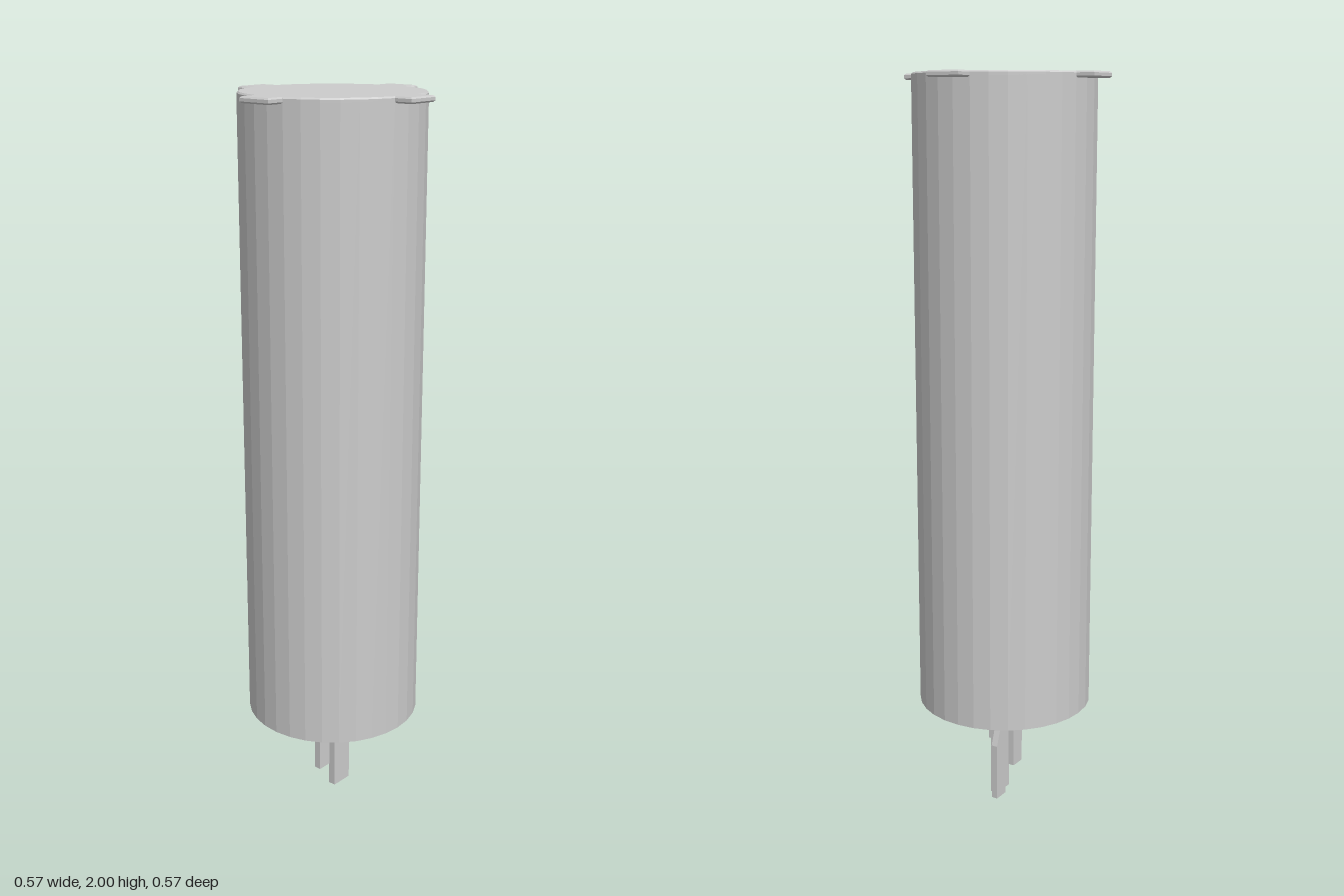
import * as THREE from 'three';

const SIDES = 32, RADIUS = 0.241, TAB = 0.286;

export function createModel() {
  const group = new THREE.Group();
  const material = new THREE.MeshStandardMaterial({ color: 0xcccccc, flatShading: true });
  const add = (name, geometry) => {
    const mesh = new THREE.Mesh(geometry, material);
    mesh.name = name;
    group.add(mesh);
    return mesh;
  };

  // Long faceted barrel
  add('barrel', new THREE.CylinderGeometry(RADIUS, RADIUS, 1.71, SIDES)).position.y = 0.28 + 0.855;

  // Chamfered lid: round outline with a square tab on each quarter
  const outline = [];
  const step = (Math.PI * 2) / SIDES;
  const half = RADIUS * Math.sin(step);
  for (let q = 0; q < 4; q++) {
    const turn = (x, y) => outline.push(new THREE.Vector2(x, y).rotateAround(new THREE.Vector2(), q * Math.PI / 2));
    turn(TAB, -half);
    turn(TAB, half);
    for (let i = 1; i < 8; i++) turn(RADIUS * Math.cos(i * step), RADIUS * Math.sin(i * step));
  }
  const bevel = 0.004;
  const lid = new THREE.ExtrudeGeometry(new THREE.Shape(outline), {
    depth: 0.016 - 2 * bevel, bevelEnabled: true, bevelSegments: 1,
    bevelSize: bevel, bevelThickness: bevel, bevelOffset: -bevel,
  });
  lid.rotateX(-Math.PI / 2);
  add('lid', lid).position.y = 1.984 + bevel;

  // Key blade: upright slabs with a (z, y) profile, stepped sideways in x
  const slab = (name, x0, x1, profile) => {
    const shape = new THREE.Shape(profile.map(([z, y]) => new THREE.Vector2(z, y)));
    const geometry = new THREE.ExtrudeGeometry(shape, { depth: x1 - x0, bevelEnabled: false });
    geometry.rotateY(-Math.PI / 2);
    add(name, geometry).position.x = x1;
  };
  slab('bladeFront', -0.03, -0.01, [[0, 0.065], [0.045, 0.065], [0.045, 0.285], [0, 0.285]]);
  slab('bladeMiddle', -0.013, 0.01, [[-0.06, 0], [0.003, 0], [0.003, 0.285], [-0.045, 0.285], [-0.06, 0.24]]);
  slab('bladeBack', -0.03, -0.012, [[-0.09, 0], [-0.045, 0], [-0.04, 0.285], [-0.045, 0.285], [-0.09, 0.16]]);
  slab('bladeRib', 0.009, 0.022, [[-0.05, 0.16], [-0.035, 0.16], [-0.035, 0.285], [-0.045, 0.285], [-0.05, 0.267]]);

  return group;
}
